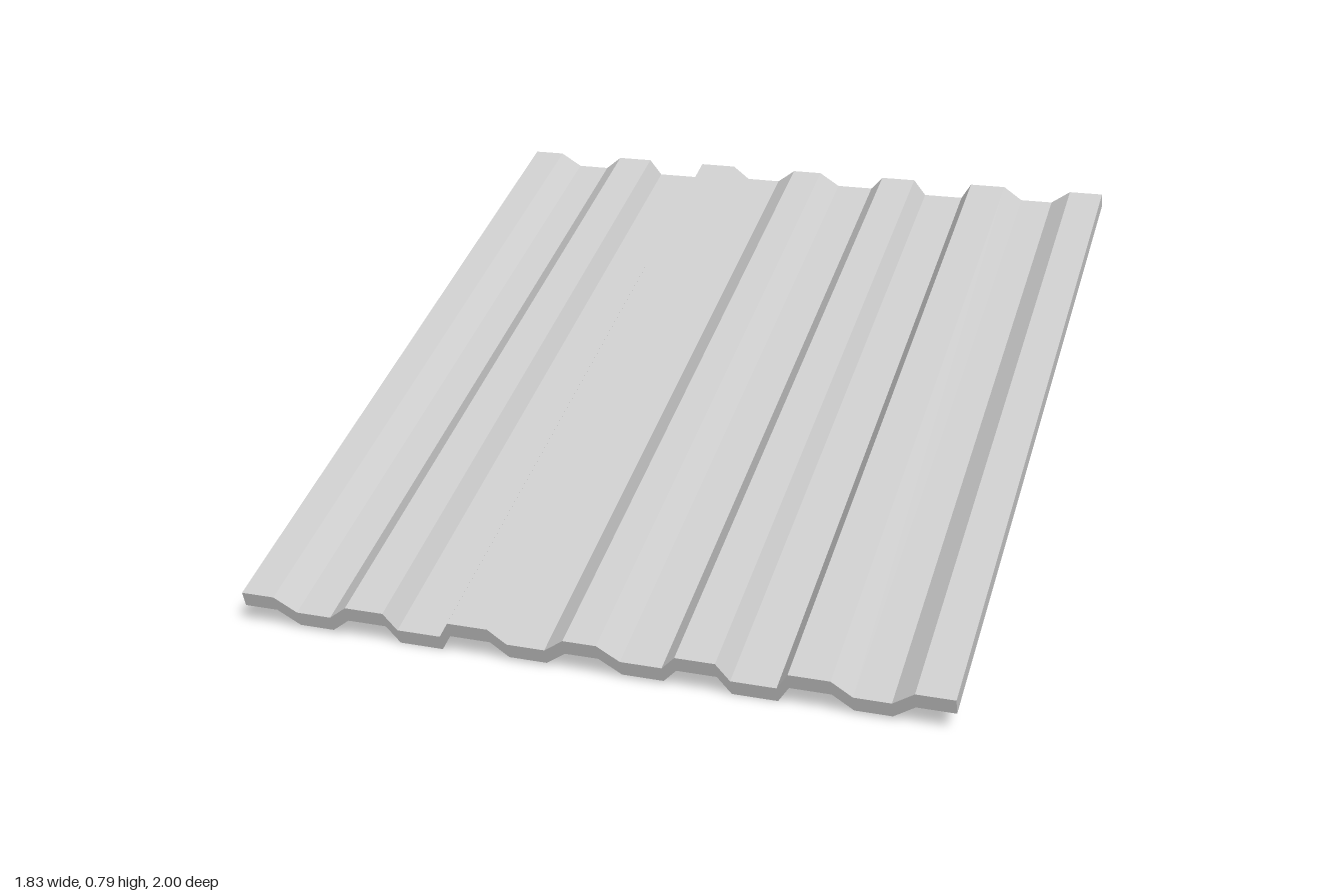
import * as THREE from 'three';

// Ribbed sheet: one folded cross-section extruded along the slope, then tilted.
const SLOPE = THREE.MathUtils.degToRad(19.75);
const LENGTH = 2.09;
const THICKNESS = 0.043;
const HIGH = 0.0955, LOW = 0.053, DEEP = 0.0445;

// Flat bands across the width: [left edge, right edge, height of upper face]
const BANDS = [
  [-0.915, -0.826, HIGH], [-0.770, -0.677, LOW],
  [-0.626, -0.523, HIGH], [-0.493, -0.378, DEEP],
  [-0.348, -0.242, HIGH], [-0.198, -0.099, LOW],
  [-0.045, 0.041, HIGH], [0.096, 0.202, LOW],
  [0.239, 0.340, HIGH], [0.372, 0.486, DEEP],
  [0.517, 0.620, HIGH], [0.671, 0.763, LOW],
  [0.819, 0.915, HIGH],
];

export function createModel() {
  const group = new THREE.Group();
  group.name = 'corrugatedRoof';

  // Upper outline, then the same outline lowered and walked back
  const upper = BANDS.flatMap(([a, b, y]) => [new THREE.Vector2(a, y), new THREE.Vector2(b, y)]);
  const lower = upper.map((p) => new THREE.Vector2(p.x, p.y - THICKNESS)).reverse();
  const shape = new THREE.Shape([...upper, ...lower]);

  const geometry = new THREE.ExtrudeGeometry(shape, { depth: LENGTH, bevelEnabled: false });
  geometry.rotateX(SLOPE);

  // Centre it and rest its lowest edge on the ground
  geometry.computeBoundingBox();
  const { min, max } = geometry.boundingBox;
  geometry.translate(-(min.x + max.x) / 2, -min.y, -(min.z + max.z) / 2);

  const material = new THREE.MeshStandardMaterial({ color: 0xcccccc, flatShading: true });
  const sheet = new THREE.Mesh(geometry, material);
  sheet.name = 'ribbedSheet';
  group.add(sheet);
  return group;
}
